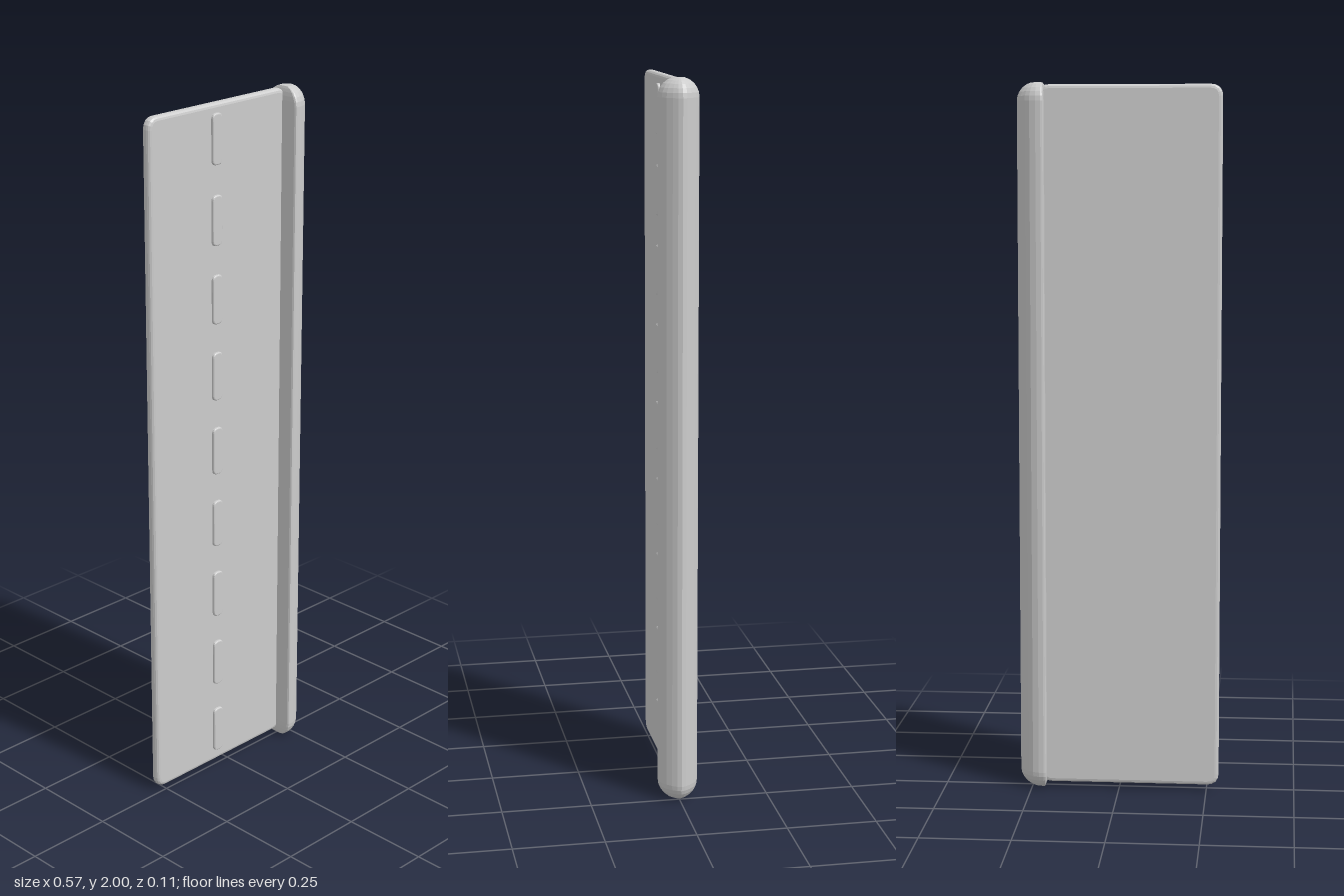
import * as THREE from 'three';

// Rounded rectangle extruded with softened edges, spanning z0 to z1
function roundedPlate(x0, x1, y0, y1, z0, z1, radius, bevel) {
  const a = x0 + bevel, b = x1 - bevel, c = y0 + bevel, d = y1 - bevel;
  const r = radius;
  const s = new THREE.Shape();
  s.moveTo(a + r, c);
  s.lineTo(b - r, c);
  s.quadraticCurveTo(b, c, b, c + r);
  s.lineTo(b, d - r);
  s.quadraticCurveTo(b, d, b - r, d);
  s.lineTo(a + r, d);
  s.quadraticCurveTo(a, d, a, d - r);
  s.lineTo(a, c + r);
  s.quadraticCurveTo(a, c, a + r, c);
  const g = new THREE.ExtrudeGeometry(s, {
    depth: z1 - z0 - 2 * bevel, bevelEnabled: true, bevelThickness: bevel,
    bevelSize: bevel, bevelSegments: 3, curveSegments: 4,
  });
  g.translate(0, 0, z0 + bevel);
  return g;
}

// D-shaped rail: one cross-section swept upward, shrinking at domed ends
function railGeometry() {
  const half = [[0.207, 0.049], [0.209, 0.054], [0.214, 0.0555], [0.228, 0.0545],
    [0.245, 0.049], [0.259, 0.039], [0.272, 0.025], [0.281, 0.012]];
  const profile = [...half, [0.285, 0], ...half.map(([x, z]) => [x, -z]).reverse()];
  const n = profile.length, steps = 5, dome = 0.05, cx = 0.228;
  const rings = [];
  for (let i = 0; i <= steps; i++) {
    const t = (i / steps) * 1.25;
    rings.push([2 - dome + dome * Math.sin(t) / Math.sin(1.25), Math.cos(t)]);
  }
  const levels = [...rings.map(([y, s]) => [2 - y, s]).reverse(), ...rings];
  const pos = [], idx = [];
  for (const [y, s] of levels) {
    // The flat side keeps most of its depth while the round side closes in
    for (const [x, z] of profile) {
      const k = x < cx ? 0.5 + 0.5 * s : s;
      pos.push(cx + (x - cx) * k, y, z * s);
    }
  }
  for (let i = 0; i < levels.length - 1; i++) {
    for (let j = 0; j < n; j++) {
      const k = (j + 1) % n, a = i * n + j, b = i * n + k;
      idx.push(a, b, a + n, b, b + n, a + n);
    }
  }
  // End caps
  const top = (levels.length - 1) * n;
  pos.push(cx, 0, 0, cx, 2, 0);
  const bottomMid = levels.length * n;
  for (let j = 0; j < n; j++) {
    const k = (j + 1) % n;
    idx.push(bottomMid, k, j, bottomMid + 1, top + j, top + k);
  }
  const g = new THREE.BufferGeometry();
  g.setAttribute('position', new THREE.Float32BufferAttribute(pos, 3));
  g.setIndex(idx);
  g.computeVertexNormals();
  return g;
}

export function createModel() {
  const model = new THREE.Group();
  model.name = 'railedPanel';
  const grey = new THREE.MeshStandardMaterial({ color: 0xcccccc, flatShading: true });
  grey.name = 'light grey';

  const add = (name, geometry, parent = model) => {
    const m = new THREE.Mesh(geometry, grey);
    m.name = name;
    parent.add(m);
    return m;
  };

  // Thin flat panel, its right edge seated inside the rail
  add('panel', roundedPlate(-0.285, 0.225, 0.015, 1.995, -0.026, 0.003, 0.022, 0.011));

  // Rounded edge rail
  add('edgeRail', railGeometry());

  // Column of raised dashes on the front
  const dashes = new THREE.Group();
  dashes.name = 'dashes';
  model.add(dashes);
  const dash = roundedPlate(-0.062, -0.027, -0.07, 0.07, -0.008, 0.011, 0.01, 0.004);
  for (let i = 0; i < 9; i++) {
    add('dash', dash, dashes).position.y = 0.12 + i * 0.2225;
  }
  return model;
}
